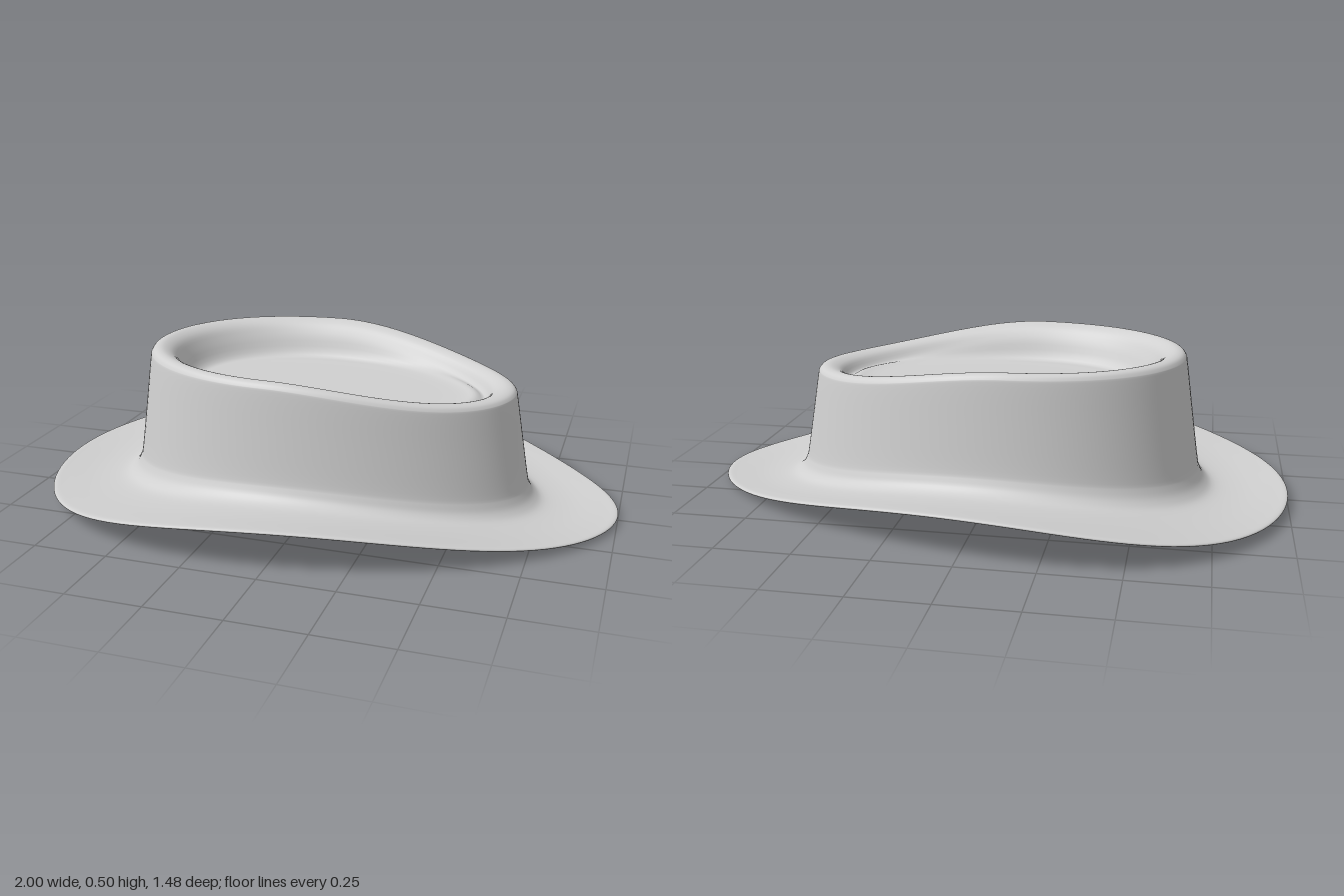
import * as THREE from 'three';

const SEGMENTS = 128; // around the hat
const STEPS = 4;      // smooth rings between two profile keys

// Brim curls up towards the sides; crown rim slopes down towards +x
const brimHeight = x => 0.03 - 0.008 * x + 0.115 * (1 - x * x) ** 2;
const rimHeight = x => 0.507 - 0.085 * THREE.MathUtils.smoothstep(x, -0.1, 0.62);

// Height rules used by the profile keys
const flat = v => () => v;
const brim = drop => x => brimHeight(x) - drop;
const wall = (f, drop = 0.02) => x => THREE.MathUtils.lerp(brimHeight(x) - drop, rimHeight(x), f);

// Each key is an egg-shaped ring: half length, half width, egg factor, height rule
const sections = {
  crownTop: [
    [0, 0, 0.12, flat(0.378)],
    [0.25, 0.15, 0.12, flat(0.378)],
    [0.44, 0.265, 0.12, flat(0.378)],
    [0.5, 0.31, 0.12, flat(0.385)],
    [0.535, 0.337, 0.12, wall(0.85)],
    [0.562, 0.362, 0.12, wall(0.95)],
    [0.595, 0.39, 0.12, wall(0.995)],
  ],
  crown: [
    [0.622, 0.413, 0.12, wall(0.995)],
    [0.638, 0.426, 0.12, wall(0.965)],
    [0.645, 0.431, 0.12, wall(0.9)],
    [0.668, 0.441, 0.12, wall(0.55)],
    [0.692, 0.452, 0.12, wall(0.2)],
    [0.702, 0.46, 0.12, wall(0.11)],
    [0.722, 0.476, 0.13, wall(0.04)],
  ],
  brim: [
    [0.76, 0.51, 0.14, brim(0.02)],
    [0.85, 0.59, 0.18, brim(0.016)],
    [0.95, 0.678, 0.22, brim(0.004)],
    [0.99, 0.714, 0.23, brim(0)],
    [1, 0.722, 0.23, brim(0.005)],
    [0.99, 0.714, 0.23, brim(0.011)],
    [0.95, 0.678, 0.22, brim(0.018)],
    [0.85, 0.59, 0.18, brim(0.03)],
  ],
  lining: [
    [0.75, 0.5, 0.14, brim(0.034)],
    [0.71, 0.466, 0.13, wall(0.02, 0.034)],
    [0.682, 0.443, 0.12, wall(0.12, 0.034)],
    [0.668, 0.433, 0.12, wall(0.25, 0.034)],
    [0.645, 0.42, 0.12, wall(0.55, 0.034)],
    [0.622, 0.405, 0.12, wall(0.78, 0.034)],
    [0.59, 0.38, 0.12, flat(0.362)],
    [0.4, 0.24, 0.12, flat(0.362)],
    [0, 0, 0.12, flat(0.362)],
  ],
};

function ringPoint([a, b, k, height], t) {
  const x = a * Math.cos(t);
  return new THREE.Vector3(x, height(x), b * Math.sin(t) * (1 - k * Math.cos(t)));
}

export function createModel() {
  const hat = new THREE.Group();
  hat.name = 'hat';
  const felt = new THREE.MeshStandardMaterial({ color: 0xd0d0d0 });
  felt.name = 'lightGreyFelt';

  // Sweep a smooth profile around the hat, from the well in the crown to the lining
  const keys = Object.values(sections).flat();
  const rings = (keys.length - 1) * STEPS + 1;
  const positions = [];
  for (let j = 0; j < SEGMENTS; j++) {
    const t = (j / SEGMENTS) * Math.PI * 2;
    const profile = new THREE.CatmullRomCurve3(keys.map(key => ringPoint(key, t)), false, 'catmullrom', 0.5);
    profile.getPoints(rings - 1).forEach(p => positions.push(p.x, p.y, p.z));
  }
  const bandIndex = (from, to) => {
    const index = [];
    for (let j = 0; j < SEGMENTS; j++) {
      const here = j * rings, next = ((j + 1) % SEGMENTS) * rings;
      for (let i = from; i < to; i++) {
        index.push(here + i, next + i, here + i + 1, next + i, next + i + 1, here + i + 1);
      }
    }
    return index;
  };

  // Normals are computed on the whole shell so the parts join smoothly
  const shell = new THREE.BufferGeometry();
  shell.setAttribute('position', new THREE.Float32BufferAttribute(positions, 3));
  shell.setIndex(bandIndex(0, rings - 1));
  shell.computeVertexNormals();

  let from = 0;
  for (const [name, list] of Object.entries(sections)) {
    const to = Math.min(from + list.length * STEPS, rings - 1);
    const part = new THREE.BufferGeometry();
    part.setAttribute('position', shell.getAttribute('position'));
    part.setAttribute('normal', shell.getAttribute('normal'));
    part.setIndex(bandIndex(from, to));
    const mesh = new THREE.Mesh(part, felt);
    mesh.name = name;
    hat.add(mesh);
    from = to;
  }
  return hat;
}
